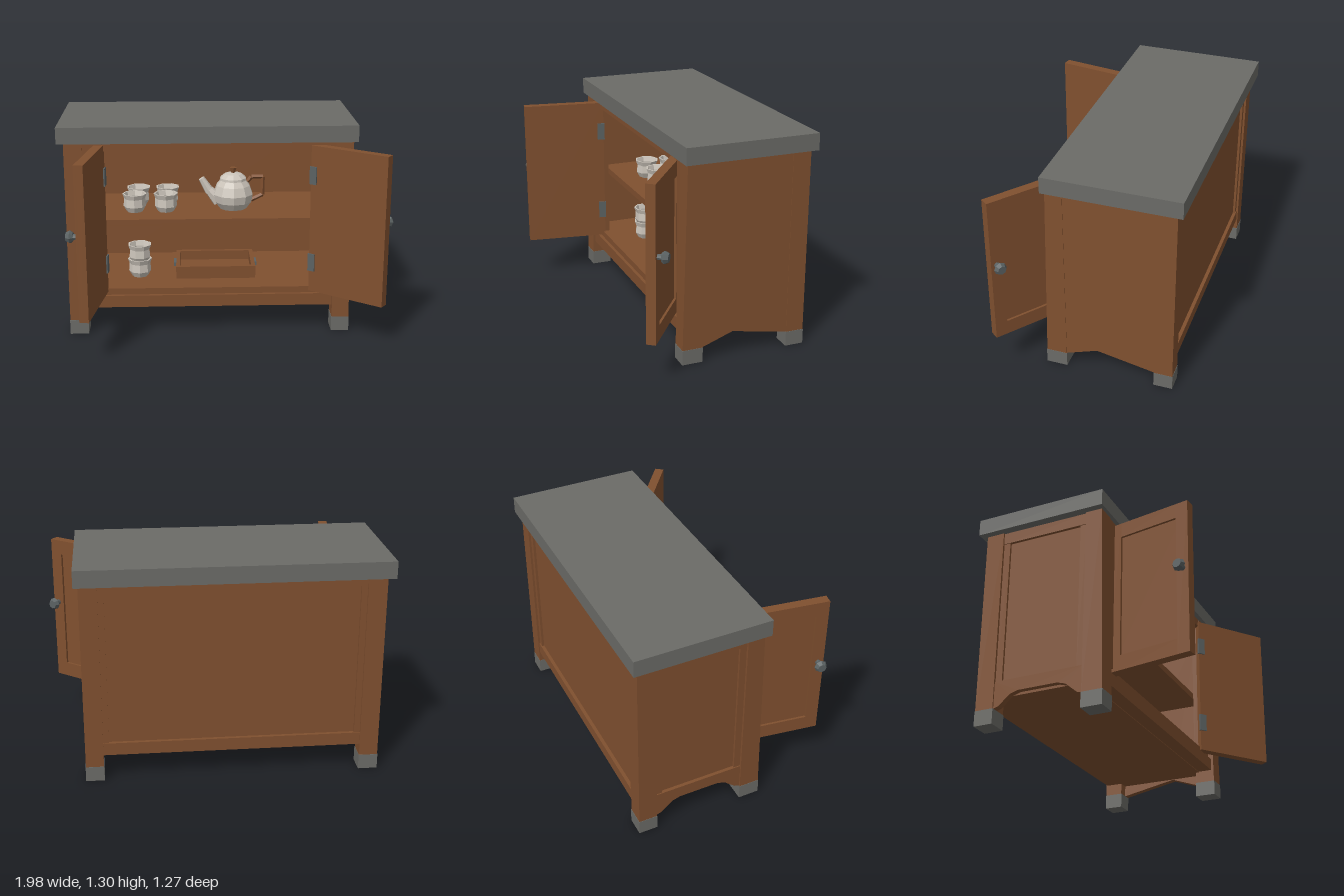
import * as THREE from 'three';

const mat = (name, color, side = THREE.FrontSide) => {
  const m = new THREE.MeshStandardMaterial({ color, side, flatShading: true });
  m.name = name;
  return m;
};

export function createModel() {
  const wood = mat('brown wood', 0x80502f);
  const stone = mat('grey stone', 0x6b6b67);
  const metal = mat('dark metal', 0x5b6263);
  const china = mat('pale china', 0xcbc4ba, THREE.DoubleSide);
  const root = new THREE.Group();
  root.name = 'cabinet';

  const add = (parent, name, geo, material) => {
    const m = new THREE.Mesh(geo, material);
    m.name = name;
    parent.add(m);
    return m;
  };
  // Box given by its limits on each axis
  const box = (parent, name, material, x0, x1, y0, y1, z0, z1) => add(parent, name,
    new THREE.BoxGeometry(x1 - x0, y1 - y0, z1 - z0)
      .translate((x0 + x1) / 2, (y0 + y1) / 2, (z0 + z1) / 2), material);
  // Round or faceted bar from point a to point b
  const bar = (parent, name, material, a, b, ra, rb, n) => {
    const p = new THREE.Vector3(...a), q = new THREE.Vector3(...b), d = q.clone().sub(p);
    const m = add(parent, name, new THREE.CylinderGeometry(rb, ra, d.length(), n), material);
    m.position.copy(p).add(q).multiplyScalar(0.5);
    m.quaternion.setFromUnitVectors(new THREE.Vector3(0, 1, 0), d.normalize());
    return m;
  };
  const lathe = (pts, n) => new THREE.LatheGeometry(pts.map(p => new THREE.Vector2(...p)), n);
  // Upright plate drawn in z and y, its outer face at x and its depth towards -x
  const sidePlate = (name, pts, x, depth) => add(root, name,
    new THREE.ExtrudeGeometry(new THREE.Shape(pts.map(p => new THREE.Vector2(...p))),
      { depth, bevelEnabled: false }).rotateY(-Math.PI / 2).translate(x, 0, 0), wood);

  // Worktop
  box(root, 'worktop', stone, -1, 0.79, 1.2, 1.3, -0.645, 0.16);

  // Corner posts with stone feet; the front posts lean back slightly
  for (const [x0, x1] of [[-0.96, -0.85], [0.66, 0.765]]) {
    box(root, 'backPost', wood, x0, x1, 0.09, 1.2, -0.61, -0.5);
    box(root, 'backFoot', stone, x0 - 0.002, x1 + 0.002, 0, 0.09, -0.612, -0.498);
    const post = box(root, 'frontPost', wood, x0, x1, 0.09, 1.2, 0.04, 0.163);
    const p = post.geometry.attributes.position;
    for (let i = 0; i < p.count; i++) if (p.getY(i) > 1 && p.getZ(i) > 0.1) p.setZ(i, 0.14);
    box(root, 'frontFoot', stone, x0 - 0.002, x1 + 0.002, 0, 0.09, 0.038, 0.165);
  }

  // Front frame
  box(root, 'frontStile', wood, -0.85, -0.735, 0.28, 1.2, 0.08, 0.135);
  box(root, 'frontStile', wood, 0.535, 0.66, 0.28, 1.2, 0.08, 0.135);
  box(root, 'topRail', wood, -0.85, 0.66, 1.15, 1.2, 0.06, 0.13);
  box(root, 'bottomRail', wood, -0.85, 0.66, 0.165, 0.24, 0.06, 0.145);
  box(root, 'doorSill', wood, -0.85, 0.66, 0.24, 0.28, 0.05, 0.125);

  // Floor, shelf and inner ceiling
  box(root, 'floor', wood, -0.92, 0.74, 0.16, 0.28, -0.57, 0.06);
  box(root, 'shelf', wood, -0.91, 0.73, 0.66, 0.7, -0.57, 0.05);
  box(root, 'ceiling', wood, -0.91, 0.73, 1.17, 1.2, -0.57, 0.06);

  // Back: recessed panel in a narrow frame
  box(root, 'backPanel', wood, -0.85, 0.66, 0.16, 1.2, -0.582, -0.555);
  box(root, 'backBottomRail', wood, -0.85, 0.66, 0.16, 0.235, -0.603, -0.57);
  box(root, 'backTopRail', wood, -0.85, 0.66, 1.15, 1.2, -0.603, -0.57);
  box(root, 'backStile', wood, -0.85, -0.815, 0.235, 1.15, -0.597, -0.57);
  box(root, 'backStile', wood, 0.625, 0.66, 0.235, 1.15, -0.597, -0.57);

  // Left side: nearly flush panel with a peaked lower edge
  sidePlate('leftSidePanel',
    [[-0.5, 0.09], [-0.15, 0.158], [0.04, 0.09], [0.04, 1.2], [-0.5, 1.2]], 0.762, 0.04);

  // Right side: recessed panel, rails and a bracketed apron
  box(root, 'rightSidePanel', wood, -0.932, -0.9, 0.18, 1.2, -0.5, 0.04);
  box(root, 'rightSideTopRail', wood, -0.95, -0.92, 1.13, 1.2, -0.5, 0.04);
  box(root, 'rightSideStile', wood, -0.946, -0.92, 0.25, 1.13, -0.5, -0.46);
  box(root, 'rightSideStile', wood, -0.946, -0.92, 0.25, 1.13, 0, 0.04);
  sidePlate('rightSideApron', [[-0.5, 0.09], [-0.47, 0.1], [-0.4, 0.16], [-0.35, 0.175],
    [-0.11, 0.175], [-0.06, 0.16], [0.01, 0.1], [0.04, 0.09], [0.04, 0.25], [-0.5, 0.25]], -0.915, 0.037);

  // Open doors: slab, raised outer frame, knob and hinges; s is the outer side
  const makeDoor = (name, x, z, dx, dz, L, y0, y1, s) => {
    const door = new THREE.Group();
    door.name = name;
    door.position.set(x, 0, z);
    door.rotation.y = Math.atan2(-dz, dx);
    root.add(door);
    const plate = (n, m, x0, x1, ya, yb, a, b) =>
      box(door, n, m, x0, x1, ya, yb, Math.min(a * s, b * s), Math.max(a * s, b * s));
    plate('doorSlab', wood, 0, L, y0, y1, -0.028, 0.014);
    const w = 0.075, h = 0.09;
    plate('doorStile', wood, 0, w, y0, y1, 0.014, 0.028);
    plate('doorStile', wood, L - w, L, y0, y1, 0.014, 0.028);
    plate('doorRail', wood, w, L - w, y0, y0 + h, 0.014, 0.028);
    plate('doorRail', wood, w, L - w, y1 - h, y1, 0.014, 0.028);
    for (const y of [0.445, 0.995])
      plate('hinge', metal, -0.006, 0.04, y - 0.055, y + 0.055, -0.036, -0.02);
    const k = L - 0.035;
    bar(door, 'knobStem', metal, [k, 0.765, 0.026 * s], [k, 0.765, 0.06 * s], 0.017, 0.017, 8);
    bar(door, 'knobBack', metal, [k, 0.765, 0.052 * s], [k, 0.765, 0.068 * s], 0.026, 0.038, 8);
    bar(door, 'knobFront', metal, [k, 0.765, 0.068 * s], [k, 0.765, 0.092 * s], 0.038, 0.026, 8);
  };
  makeDoor('rightDoor', -0.75, 0.11, -0.153, 0.988, 0.515, 0.26, 1.188, 1);
  makeDoor('leftDoor', 0.53, 0.115, 0.796, 0.605, 0.505, 0.258, 1.178, -1);

  // Cups on the shelf and a stack of two on the floor
  const cupProfile = [[0, 0], [0.05, 0], [0.07, 0.035], [0.066, 0.085], [0.077, 0.115],
    [0.067, 0.115], [0.058, 0.085], [0.058, 0.035], [0, 0.018]];
  const cups = [[-0.56, 0.703, -0.13], [-0.54, 0.703, -0.29], [-0.365, 0.703, -0.13],
    [-0.355, 0.703, -0.29], [-0.535, 0.282, -0.11], [-0.535, 0.377, -0.11]];
  cups.forEach(([x, y, z], i) => {
    const cup = add(root, 'cup', lathe(cupProfile, 8), china);
    cup.position.set(x, y, z);
    cup.rotation.y = i * 0.4;
  });

  // Teapot
  const pot = new THREE.Group();
  pot.name = 'teapot';
  pot.position.set(0.06, 0.702, -0.19);
  root.add(pot);
  add(pot, 'potBody', lathe([[0, 0], [0.085, 0], [0.118, 0.045], [0.128, 0.095], [0.108, 0.15],
    [0.08, 0.185], [0, 0.185]], 10), china);
  add(pot, 'potLid', lathe([[0.086, 0.183], [0.084, 0.198], [0.055, 0.222], [0, 0.232]], 10), china);
  bar(pot, 'lidKnob', wood, [0, 0.225, 0], [0, 0.262, 0], 0.012, 0.023, 6);
  bar(pot, 'spoutBase', china, [-0.09, 0.05, 0], [-0.155, 0.12, 0], 0.046, 0.028, 7);
  bar(pot, 'spoutTip', china, [-0.15, 0.11, 0], [-0.2, 0.194, 0], 0.03, 0.02, 7);
  const grip = [[0.09, 0.17, 0], [0.115, 0.2, 0], [0.187, 0.2, 0], [0.187, 0.085, 0], [0.115, 0.05, 0]];
  for (let i = 0; i < grip.length - 1; i++)
    bar(pot, 'potHandle', wood, grip[i], grip[i + 1], 0.013, 0.013, 4);

  // Open tray with small end handles
  box(root, 'trayBase', wood, -0.3, 0.19, 0.281, 0.3, -0.365, -0.04);
  for (const [a, b] of [[-0.37, -0.345], [-0.06, -0.035]])
    box(root, 'trayLongWall', wood, -0.305, 0.195, 0.281, 0.36, a, b);
  for (const [a, b, h] of [[-0.305, -0.28, -0.312], [0.17, 0.195, 0.202]]) {
    box(root, 'trayEndWall', wood, a, b, 0.281, 0.36, -0.345, -0.06);
    box(root, 'trayHandle', metal, h - 0.008, h + 0.008, 0.32, 0.345, -0.245, -0.16);
  }
  return root;
}
